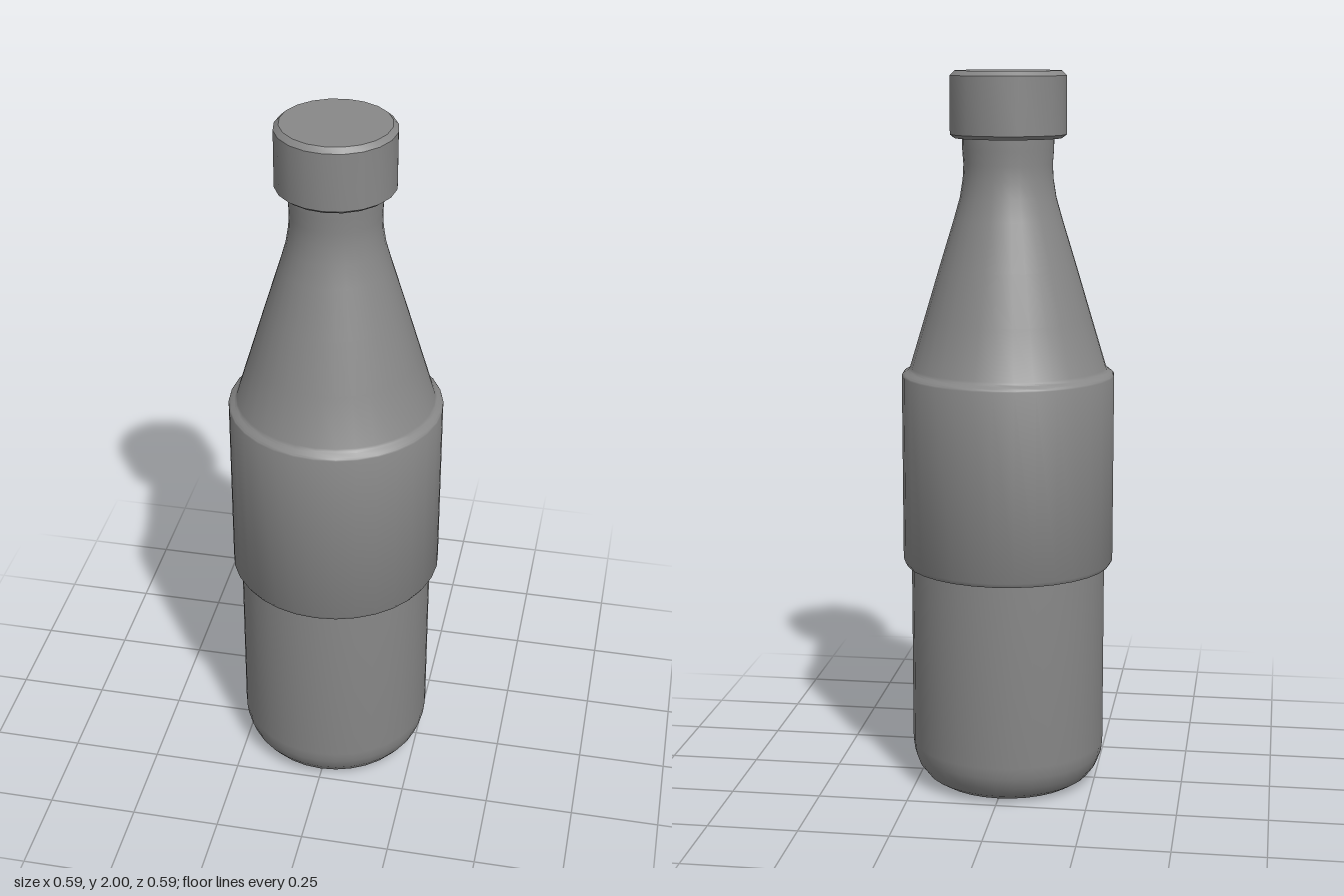
import * as THREE from 'three';
import { toCreasedNormals } from 'three/addons/utils/BufferGeometryUtils.js';

const material = new THREE.MeshStandardMaterial({ color: 0x888888 });

// Revolve a bottom-to-top profile of [radius, height], keeping sharp edges crisp
function turned(name, profile, sides) {
  const points = profile.map(([r, y]) => new THREE.Vector2(r, y));
  const geometry = toCreasedNormals(new THREE.LatheGeometry(points, sides), 0.6);
  const mesh = new THREE.Mesh(geometry, material);
  mesh.name = name;
  return mesh;
}

export function createModel() {
  const group = new THREE.Group();
  group.name = 'bottle';

  // Rounded base, raised label band, tapering shoulder and narrow neck
  const body = [
    [0, 0], [0.19, 0], [0.207, 0.004], [0.234, 0.021], [0.256, 0.05],
    [0.268, 0.083], [0.272, 0.115], [0.272, 0.634],
    [0.288, 0.636], [0.295, 0.648], [0.295, 1.17],
    [0.2935, 1.174], [0.29, 1.178], [0.279, 1.184], [0.275, 1.188], [0.272, 1.194],
    [0.231, 1.33], [0.189, 1.47], [0.149, 1.6], [0.132, 1.66], [0.124, 1.71],
    [0.122, 1.75], [0.125, 1.79], [0.126, 1.83],
  ];
  group.add(turned('body', body, 32));

  // Cap with chamfered edges
  const cap = [
    [0, 1.82], [0.147, 1.82], [0.16, 1.83],
    [0.16, 1.987], [0.146, 2], [0, 2],
  ];
  group.add(turned('cap', cap, 20));

  return group;
}
